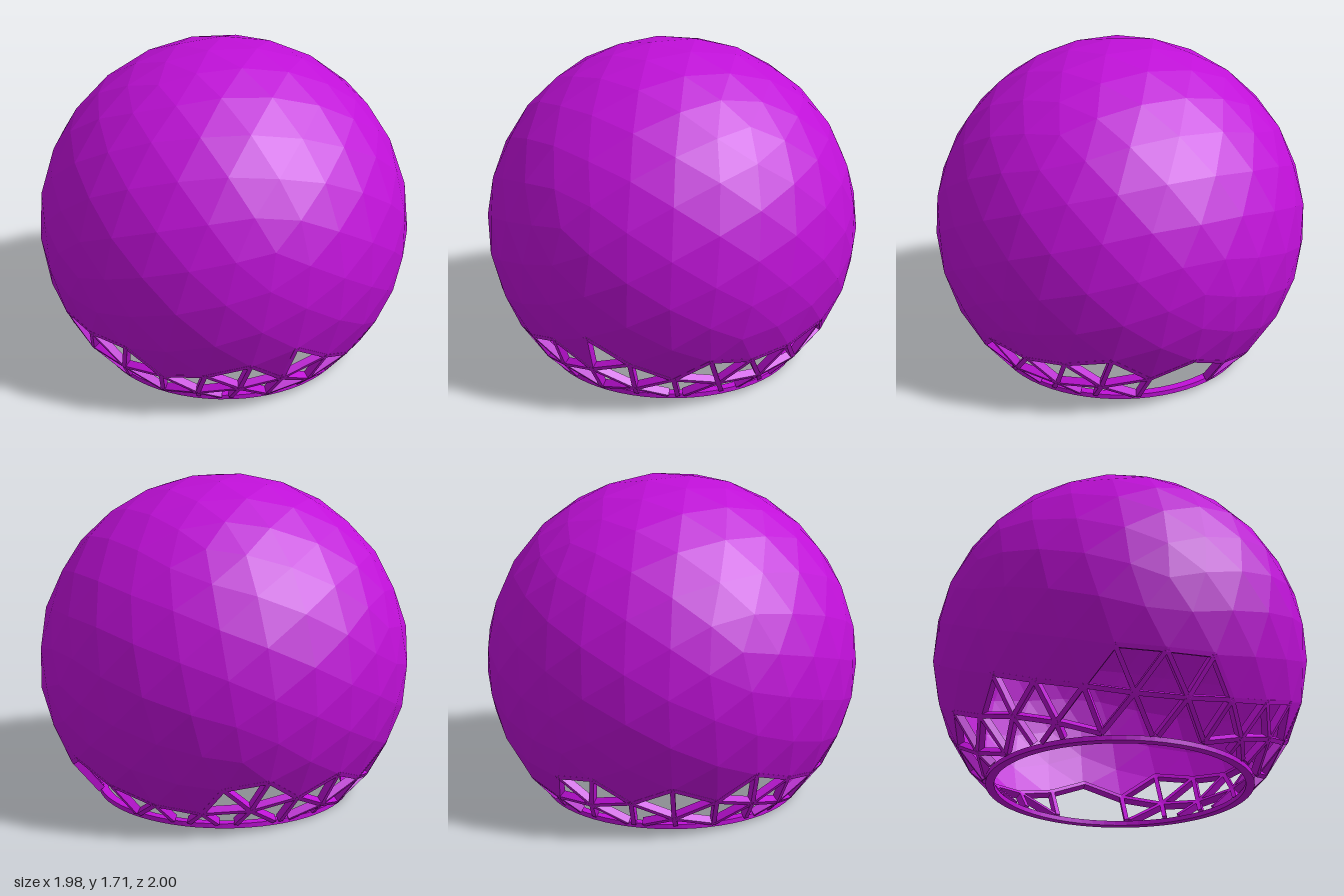
import * as THREE from 'three';

const CENTRE = 0.72; // sphere centre height
const FREQ = 5;      // divisions along each icosahedron edge
const V = (x, y, z) => new THREE.Vector3(x, y, z);

// Twelve icosahedron corners with the poles on the z axis
function icosahedronCorners() {
  const corners = [V(0, 0, 1), V(0, 0, -1)];
  const h = 1 / Math.sqrt(5);
  for (let i = 0; i < 5; i++) {
    const a = Math.PI / 2 + (i * Math.PI * 2) / 5;
    const x = 2 * h * Math.cos(a), y = 2 * h * Math.sin(a);
    corners.push(V(x, y, h), V(-x, -y, -h));
  }
  return corners;
}

// All geodesic triangles, wound outward, on the unit sphere
function geodesicTriangles() {
  const c = icosahedronCorners(), tris = [];
  const near = (a, b) => a.distanceTo(b) < 1.1;
  for (let i = 0; i < 12; i++) for (let j = i + 1; j < 12; j++) for (let k = j + 1; k < 12; k++) {
    if (!near(c[i], c[j]) || !near(c[j], c[k]) || !near(c[i], c[k])) continue;
    const point = (p, q) => V(0, 0, 0)
      .addScaledVector(c[i], FREQ - p - q).addScaledVector(c[j], p).addScaledVector(c[k], q).normalize();
    for (let p = 0; p < FREQ; p++) for (let q = 0; q < FREQ - p; q++) {
      tris.push([point(p, q), point(p + 1, q), point(p, q + 1)]);
      if (p + q < FREQ - 1) tris.push([point(p + 1, q), point(p + 1, q + 1), point(p, q + 1)]);
    }
  }
  for (const t of tris) {
    const n = t[1].clone().sub(t[0]).cross(t[2].clone().sub(t[0]));
    if (n.dot(t[0]) < 0) t.reverse();
    t.forEach(v => { v.y += CENTRE; });
  }
  return tris;
}

// Which triangles carry a panel: all above the lower edge, with a few openings and extras
function isPanel(c) {
  if (c.z > 0.8 && Math.abs(c.x) < 0.2 && c.y < 0.34) return false;          // front opening
  if (c.x > 0.8 && c.z > 0.2 && c.z < 0.32 && c.y < 0.33) return false;      // side opening
  if (c.x < -0.2 && c.z < -0.5 && c.z > -0.85 && c.y > 0.17) return true;    // low rear panels
  return c.y > 0.29;
}

export function createModel() {
  const model = new THREE.Group();
  const material = new THREE.MeshStandardMaterial({ color: 0xc010d8, flatShading: true, side: THREE.DoubleSide });

  // Sort triangles into panels and open frame edges
  const panelPoints = [], edges = new Map();
  const key = v => [v.x, v.y, v.z].map(n => Math.round(n * 1000)).join();
  for (const t of geodesicTriangles()) {
    const c = V(0, 0, 0).add(t[0]).add(t[1]).add(t[2]).divideScalar(3);
    if (isPanel(c)) { panelPoints.push(...t); continue; }
    t.forEach((a, i) => {
      const b = t[(i + 1) % 3];
      edges.set([key(a), key(b)].sort().join('|'), [a, b]);
    });
  }

  // Faceted skin
  const skinGeometry = new THREE.BufferGeometry().setFromPoints(panelPoints);
  skinGeometry.computeVertexNormals();
  const skin = new THREE.Mesh(skinGeometry, material);
  skin.name = 'domePanels';
  model.add(skin);

  // Struts around the open triangles, cut off at the base ring
  const frame = new THREE.Group();
  frame.name = 'strutFrame';
  const FLOOR = 0.02, DEPTH = 0.04;
  const rearDoor = V(0, 0.094, -0.78); // struts meeting here are left out
  for (const [a, b] of edges.values()) {
    if (a.distanceTo(rearDoor) < 0.03 || b.distanceTo(rearDoor) < 0.03) continue;
    const [low, high] = a.y < b.y ? [a.clone(), b] : [b.clone(), a];
    if (high.y < FLOOR + 0.01) continue;
    if (low.y < FLOOR) low.lerp(high, (FLOOR - low.y) / (high.y - low.y));
    const along = high.clone().sub(low);
    const length = along.length();
    along.normalize();
    const mid = low.clone().add(high).multiplyScalar(0.5);
    const side = along.clone().cross(mid.clone().sub(V(0, CENTRE, 0))).normalize();
    const out = side.clone().cross(along);
    const strut = new THREE.Mesh(new THREE.BoxGeometry(0.024, length, DEPTH), material);
    strut.quaternion.setFromRotationMatrix(new THREE.Matrix4().makeBasis(side, along, out));
    strut.position.copy(mid).addScaledVector(out, -DEPTH / 2);
    strut.name = 'strut';
    frame.add(strut);
  }
  model.add(frame);

  // Flat base ring
  const profile = [[0.65, 0], [0.695, 0], [0.695, 0.025], [0.65, 0.025], [0.65, 0]];
  const ring = new THREE.Mesh(
    new THREE.LatheGeometry(profile.map(([r, y]) => new THREE.Vector2(r, y)), 64), material);
  ring.name = 'baseRing';
  model.add(ring);

  return model;
}
